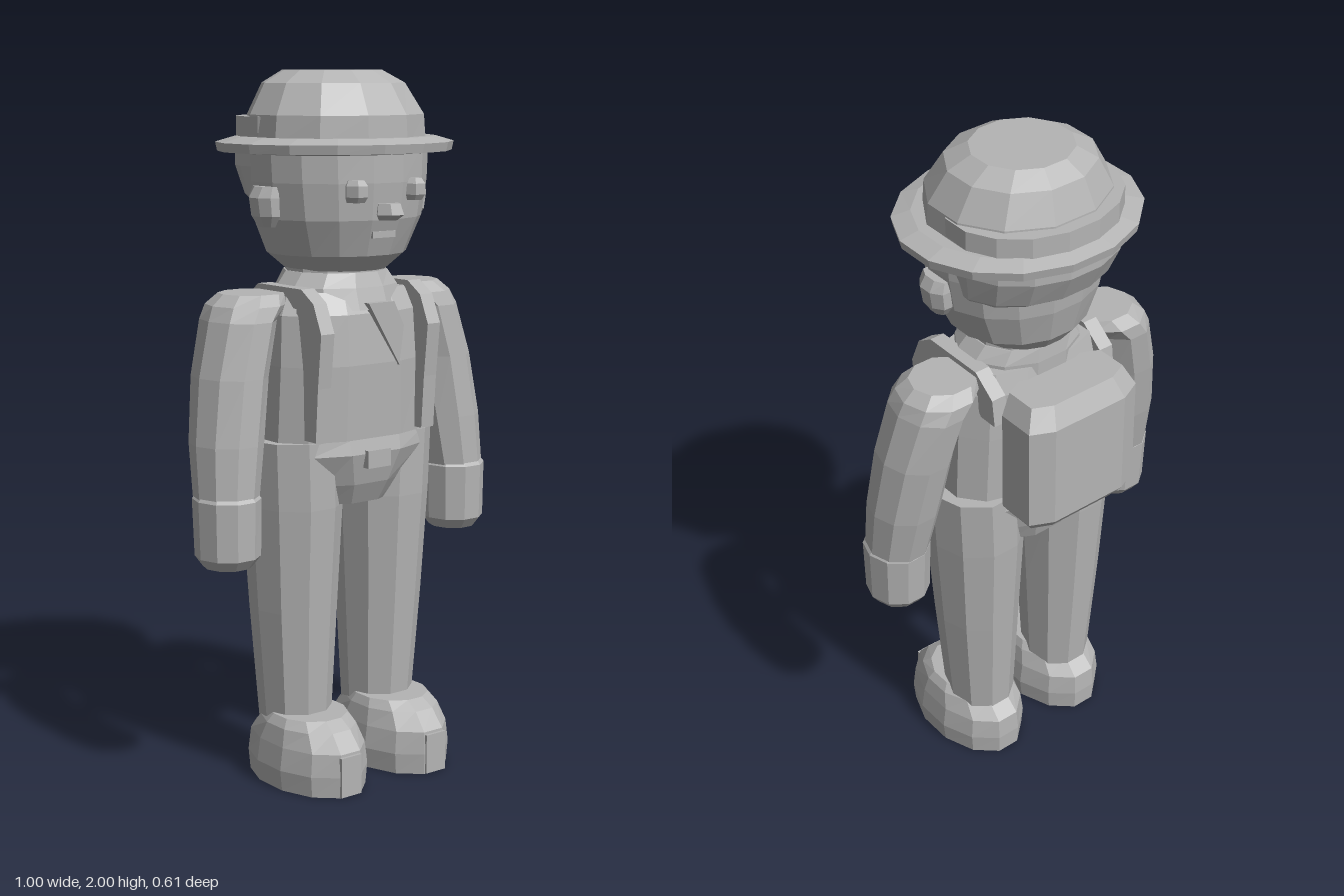
import * as THREE from 'three';

const grey = new THREE.MeshStandardMaterial({ color: 0xb4b4b4, flatShading: true });
grey.name = 'plain grey';

// Skin between level rings, bottom to top: [y, cx, cz, rx, rz]; e < 1 squares the ring
function loft(rings, n = 12, e = 1) {
  const pos = [];
  const bend = (v) => Math.sign(v) * Math.pow(Math.abs(v), e);
  const pt = ([y, cx, cz, rx, rz], i) => {
    const a = ((i + 0.5) / n) * Math.PI * 2;
    return [cx + rx * bend(Math.sin(a)), y, cz + rz * bend(Math.cos(a))];
  };
  const mid = ([y, cx, cz]) => [cx, y, cz];
  const lo = rings[0], hi = rings[rings.length - 1];
  for (let i = 0; i < n; i++) {
    for (let k = 0; k < rings.length - 1; k++) {
      const a = pt(rings[k], i), b = pt(rings[k], i + 1);
      const c = pt(rings[k + 1], i + 1), d = pt(rings[k + 1], i);
      pos.push(...a, ...b, ...c, ...a, ...c, ...d);
    }
    pos.push(...mid(lo), ...pt(lo, i + 1), ...pt(lo, i));
    pos.push(...mid(hi), ...pt(hi, i), ...pt(hi, i + 1));
  }
  const g = new THREE.BufferGeometry();
  g.setAttribute('position', new THREE.Float32BufferAttribute(pos, 3));
  g.computeVertexNormals();
  return g;
}

function plate(points, depth) {
  const shape = new THREE.Shape(points.map(([x, y]) => new THREE.Vector2(x, y)));
  return new THREE.ExtrudeGeometry(shape, { depth, bevelEnabled: false });
}

export function createModel() {
  const group = new THREE.Group();
  const add = (name, geometry, x = 0, y = 0, z = 0) => {
    const mesh = new THREE.Mesh(geometry, grey);
    mesh.name = name;
    mesh.position.set(x, y, z);
    group.add(mesh);
    return mesh;
  };

  // Head and hair
  add('head', loft([
    [1.455, 0, 0, 0.14, 0.15], [1.5, 0, 0.005, 0.2, 0.19], [1.6, 0, 0.01, 0.245, 0.22],
    [1.7, 0, 0.01, 0.262, 0.23], [1.8, 0, 0.01, 0.268, 0.23],
  ], 16));
  add('hair', loft([
    [1.64, 0, -0.04, 0.225, 0.17], [1.66, 0, -0.05, 0.24, 0.19],
    [1.74, 0, -0.06, 0.257, 0.22], [1.79, 0, -0.06, 0.257, 0.22],
  ], 16));

  // Hat
  add('hatBrim', loft([
    [1.775, 0, 0, 0.27, 0.24], [1.78, 0, 0, 0.34, 0.305],
    [1.805, 0, 0, 0.345, 0.31], [1.82, 0, 0, 0.29, 0.265],
  ], 16));
  add('hatCrown', loft([
    [1.8, 0, 0, 0.262, 0.242], [1.88, 0, 0, 0.255, 0.238],
    [1.965, 0, -0.01, 0.205, 0.195], [2, 0, -0.015, 0.142, 0.137],
  ], 12));
  add('hatBackBand', loft([
    [1.81, 0, -0.06, 0.256, 0.21], [1.875, 0, -0.06, 0.256, 0.21],
  ], 16));

  // Face
  add('nose', loft([
    [1.6, 0, 0.23, 0.028, 0.03], [1.615, 0, 0.24, 0.042, 0.042], [1.645, 0, 0.235, 0.035, 0.035],
  ], 6));
  add('mouth', new THREE.BoxGeometry(0.08, 0.018, 0.03), 0, 1.56, 0.203);

  // Neck, torso and kerchief
  add('neck', loft([[1.38, 0, 0, 0.15, 0.14], [1.47, 0, 0, 0.145, 0.14]]));
  add('torso', loft([
    [0.97, 0, 0.015, 0.265, 0.165], [1.2, 0, 0.015, 0.255, 0.172],
    [1.34, 0, 0.01, 0.245, 0.165], [1.4, 0, 0, 0.21, 0.14],
  ], 12, 0.75));
  add('collar', loft([
    [1.35, 0, 0.015, 0.19, 0.165], [1.41, 0, 0.005, 0.185, 0.155], [1.45, 0, 0, 0.15, 0.145],
  ]));
  const scarf = plate([[-0.03, 1.37], [0.08, 1.19], [0.095, 1.3], [0.06, 1.37]], 0.025);
  add('kerchiefTail', scarf, 0, 0, 0.165);

  // Pelvis and belt buckle
  add('pelvis', loft([
    [0.8, 0, 0, 0.15, 0.14], [0.86, 0, 0.005, 0.19, 0.165],
    [0.95, 0, 0.01, 0.27, 0.185], [0.99, 0, 0.01, 0.28, 0.175],
  ], 12, 0.85));
  add('beltBuckle', new THREE.BoxGeometry(0.08, 0.05, 0.03), 0, 0.935, 0.188);

  // Backpack
  add('backpack', loft([
    [0.96, 0, -0.205, 0.165, 0.075], [1.0, 0, -0.22, 0.195, 0.092],
    [1.31, 0, -0.22, 0.195, 0.092], [1.37, 0, -0.205, 0.165, 0.075],
  ], 8, 0.5));

  // Paired parts
  for (const s of [1, -1]) {
    const side = s > 0 ? 'left' : 'right';
    const both = (rings) => rings.map(([y, cx, ...r]) => [y, s * cx, ...r]);

    add(side + 'Eye', loft(both([
      [1.65, 0.1, 0.215, 0.025, 0.03], [1.665, 0.1, 0.22, 0.033, 0.036],
      [1.695, 0.1, 0.22, 0.033, 0.036], [1.71, 0.1, 0.215, 0.022, 0.03],
    ]), 6));
    add(side + 'Ear', loft(both([
      [1.58, 0.25, 0.02, 0.02, 0.03], [1.61, 0.255, 0.02, 0.035, 0.052],
      [1.66, 0.26, 0.02, 0.038, 0.055], [1.69, 0.255, 0.02, 0.025, 0.05],
    ]), 8));

    add(side + 'Arm', loft(both([
      [0.84, 0.408, 0.04, 0.088, 0.095], [1.0, 0.392, 0.02, 0.1, 0.11],
      [1.18, 0.365, 0, 0.1, 0.12], [1.33, 0.325, -0.015, 0.097, 0.125],
      [1.37, 0.295, -0.02, 0.11, 0.118], [1.4, 0.275, -0.02, 0.095, 0.09],
    ]), 10));
    add(side + 'Hand', loft(both([
      [0.66, 0.408, 0.045, 0.068, 0.07], [0.69, 0.408, 0.045, 0.09, 0.094],
      [0.85, 0.408, 0.042, 0.093, 0.1], [0.86, 0.408, 0.042, 0.085, 0.092],
    ]), 10));

    add(side + 'Leg', loft(both([
      [0.15, 0.15, 0.005, 0.1, 0.108], [0.5, 0.156, 0.005, 0.122, 0.132],
      [0.8, 0.158, 0.005, 0.138, 0.152], [0.99, 0.165, 0.005, 0.138, 0.155],
    ]), 10));
    add(side + 'Shoe', loft(both([
      [0, 0.152, 0.065, 0.135, 0.21], [0.06, 0.152, 0.065, 0.142, 0.213],
      [0.125, 0.152, 0.065, 0.132, 0.208], [0.175, 0.152, 0.07, 0.12, 0.16],
      [0.2, 0.15, 0.07, 0.105, 0.12],
    ]), 12));
    add(side + 'ToePatch', new THREE.BoxGeometry(0.07, 0.115, 0.02), s * 0.155, 0.06, 0.265);

    // Strap over the shoulder, cut from its side profile
    const strap = plate([
      [0.1, 1.0], [0.185, 1.0], [0.195, 1.15], [0.21, 1.3], [0.175, 1.38], [0.12, 1.415],
      [-0.08, 1.415], [-0.15, 1.36], [-0.16, 1.28], [-0.1, 1.28], [-0.05, 1.36], [0.1, 1.36],
    ].reverse(), 0.045).rotateY(-Math.PI / 2);
    add(side + 'Strap', strap, s * 0.188 + 0.0225);
  }
  return group;
}
